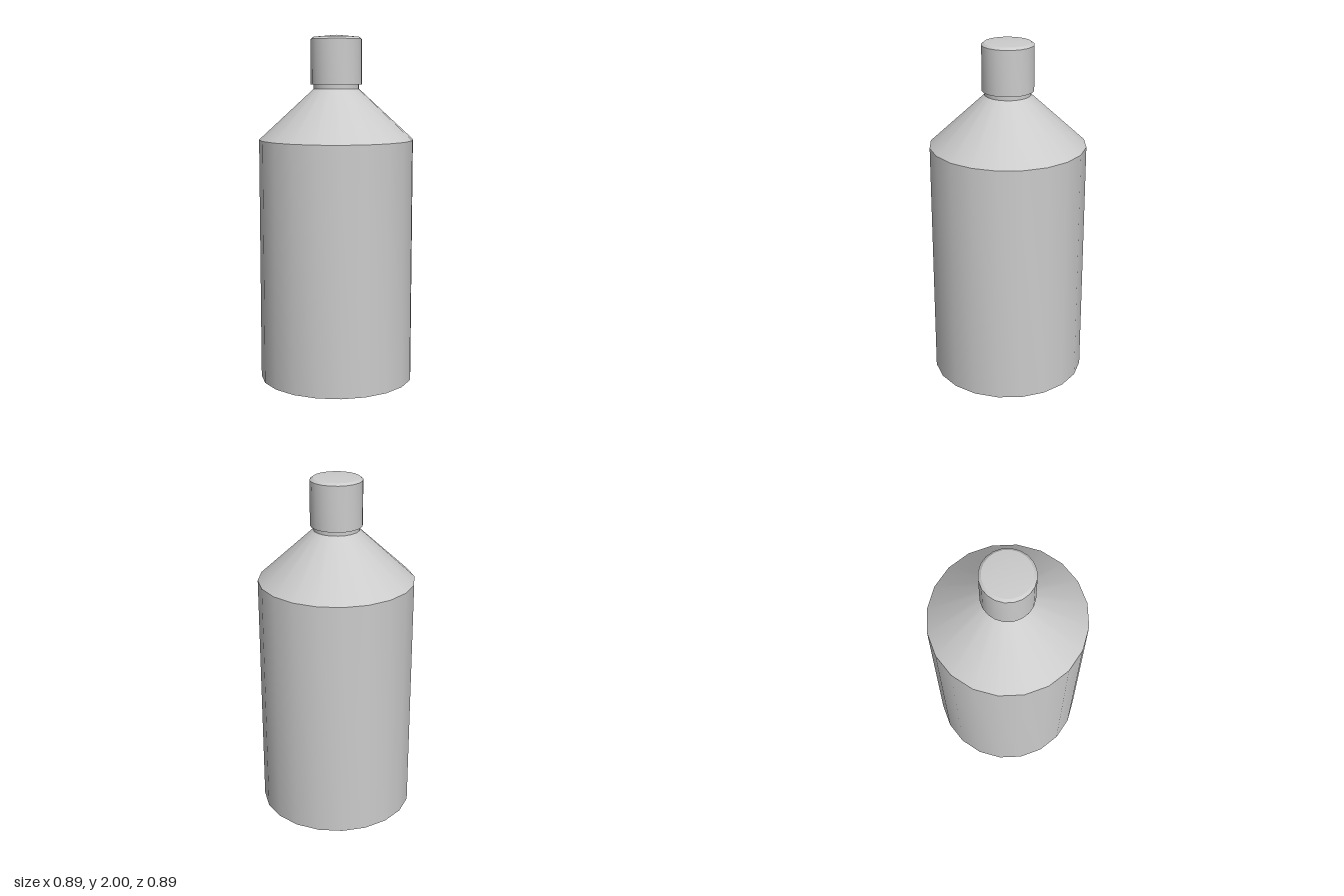
import * as THREE from 'three';
import { toCreasedNormals } from 'three/addons/utils/BufferGeometryUtils.js';

const SIDES = 20;

// Turns a profile of [radius, height] points, listed from bottom to top
function turned(name, profile, material) {
  const points = profile.map(([r, y]) => new THREE.Vector2(r, y));
  const geometry = toCreasedNormals(new THREE.LatheGeometry(points, SIDES), Math.PI / 6);
  const mesh = new THREE.Mesh(geometry, material);
  mesh.name = name;
  return mesh;
}

export function createModel() {
  const group = new THREE.Group();
  group.name = 'bottle';
  const material = new THREE.MeshStandardMaterial({ color: 0xcccccc });

  // Straight body, conical shoulder and short neck
  group.add(turned('bottleBody', [
    [0, 0], [0.445, 0], [0.445, 1.405], [0.13, 1.695], [0.13, 1.725],
  ], material));

  // Screw cap with a bevelled rim and a slightly raised top
  group.add(turned('cap', [
    [0, 1.72], [0.147, 1.72], [0.147, 1.976], [0.132, 1.988], [0, 2],
  ], material));

  return group;
}
